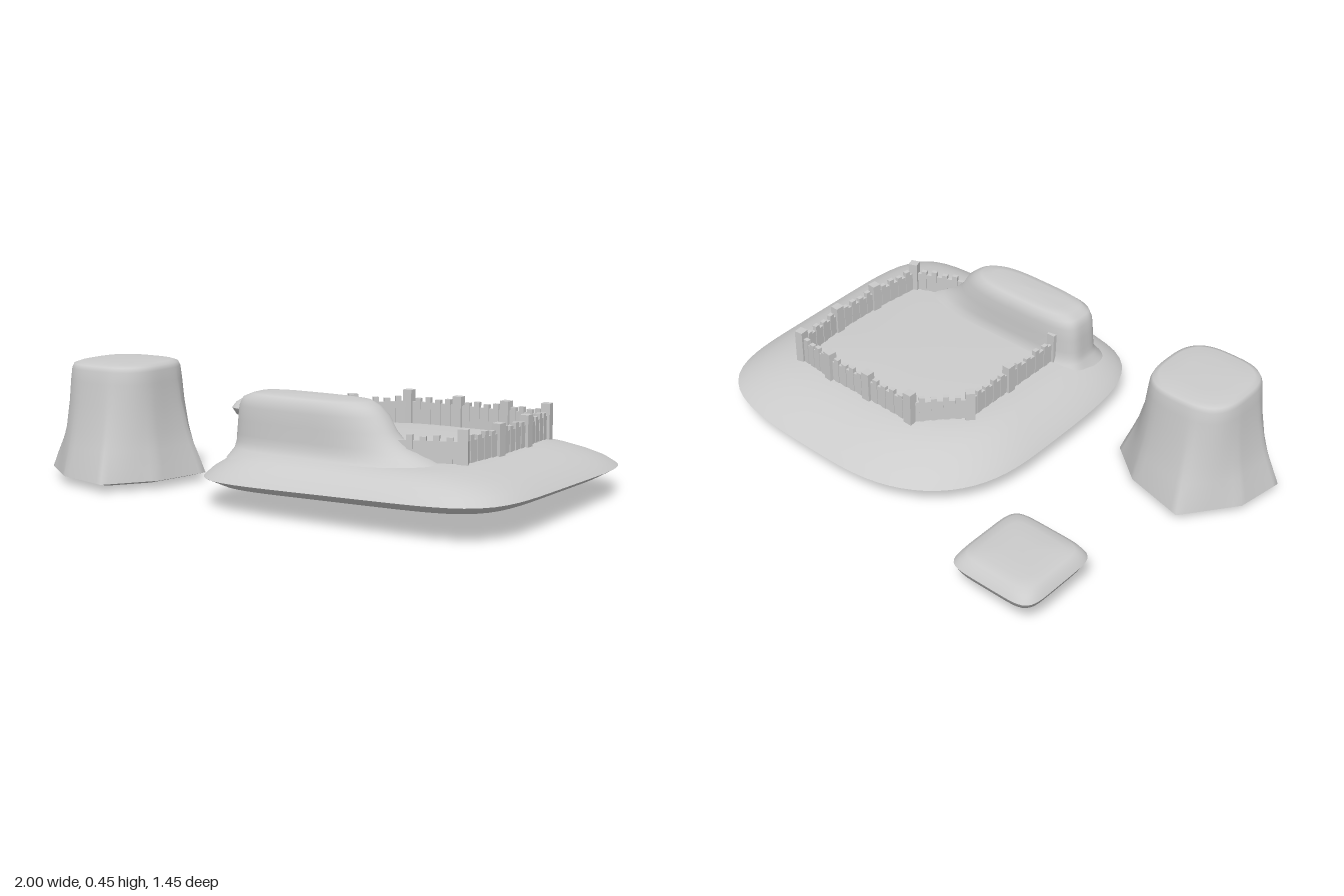
import * as THREE from 'three';

const grey = new THREE.MeshStandardMaterial({ color: 0xcccccc });

function named(name, geometry) {
  const mesh = new THREE.Mesh(geometry, grey);
  mesh.name = name;
  return mesh;
}

// Smooth skin over closed rings of [x, y, z] points, listed from bottom to top
function loft(rings) {
  const n = rings[0].length, index = [];
  for (let i = 0; i < rings.length - 1; i++) {
    for (let j = 0; j < n; j++) {
      const a = i * n + j, b = i * n + (j + 1) % n;
      index.push(a, a + n, b, b, a + n, b + n);
    }
  }
  const g = new THREE.BufferGeometry();
  g.setAttribute('position', new THREE.Float32BufferAttribute(rings.flat(2), 3));
  g.setIndex(index);
  g.computeVertexNormals();
  return g;
}

// Rounded-square radius in direction (c, s); larger n means squarer corners
const squircle = (c, s, n) => Math.pow(Math.abs(c) ** n + Math.abs(s) ** n, -1 / n);

// Rounded-square ring; power(c, s) varies the corners, tilt slopes it along x and z
function ring(cx, cz, hx, hz, y, power, tilt = 0, count = 96) {
  return Array.from({ length: count }, (_, i) => {
    const a = (i / count) * Math.PI * 2, c = Math.cos(a), s = Math.sin(a);
    const r = squircle(c, s, power(c, s));
    return [cx + hx * r * c, y + tilt * r * (0.013 * c + 0.015 * s), cz + hz * r * s];
  });
}

// Floating ground: back left corner is rounder than the others
function island() {
  const group = new THREE.Group();
  group.name = 'island';
  const power = (c, s) => 4.3 + 0.9 * c + 1.2 * s;
  const build = rows => loft(rows.map(([cx, cz, h, y, t]) => ring(cx, cz, h, h, y, power, t)));
  group.add(named('islandUnderside', build([
    [0.43, 0.2, 0, 0.035, 0],
    [0.42, 0.17, 0.2, 0.043, 0.1],
    [0.39, 0.11, 0.45, 0.058, 0.5],
    [0.375, 0.095, 0.58, 0.075, 0.8],
    [0.37, 0.09, 0.63, 0.1, 1],
  ])));
  group.add(named('islandTop', build([
    [0.37, 0.09, 0.63, 0.1, 1],
    [0.367, 0.097, 0.6, 0.127, 0.9],
    [0.363, 0.11, 0.555, 0.153, 0.7],
    [0.357, 0.125, 0.51, 0.174, 0.4],
    [0.35, 0.14, 0.46, 0.19, 0.2],
    [0.35, 0.15, 0.4, 0.2, 0.1],
    [0.35, 0.15, 0.2, 0.207, 0],
    [0.35, 0.15, 0, 0.209, 0],
  ])));
  return group;
}

// Hill with a steep left end and a long slope to the right
function hill() {
  const rows = [ // y, left, right, back, front
    [0.165, -0.14, 0.76, 0.32, 0.62],
    [0.2, -0.118, 0.67, 0.345, 0.585],
    [0.225, -0.112, 0.61, 0.355, 0.575],
    [0.25, -0.11, 0.555, 0.358, 0.572],
    [0.3, -0.105, 0.505, 0.36, 0.57],
    [0.35, -0.1, 0.475, 0.362, 0.567],
    [0.38, -0.085, 0.44, 0.37, 0.56],
    [0.395, -0.05, 0.41, 0.385, 0.545],
    [0.4, 0, 0.36, 0.41, 0.52],
    [0.402, 0.18, 0.18, 0.465, 0.465],
  ];
  return named('hill', loft(rows.map(([y, l, r, b, f]) =>
    ring((l + r) / 2, (b + f) / 2, (r - l) / 2, (f - b) / 2, y, c => 3.2 - 0.8 * c))));
}

// Tall rock: an uneven polygon at the foot that rounds off towards the top
function tallRock() {
  const group = new THREE.Group();
  group.name = 'tallRock';
  const cx = -0.715, cz = 0.385;
  const corners = [[-0.43, 0.28], [-0.48, 0.5], [-0.61, 0.67], [-0.83, 0.62],
    [-1, 0.49], [-0.97, 0.3], [-0.82, 0.1], [-0.58, 0.16]];
  const foot = corners.flatMap(([x, z], i) => {
    const [x2, z2] = corners[(i + 1) % corners.length];
    return Array.from({ length: 8 }, (_, k) => [x + (x2 - x) * k / 8 - cx, z + (z2 - z) * k / 8 - cz]);
  });
  // y, share of the foot outline, scale
  const build = rows => loft(rows.map(([y, share, scale]) => foot.map(([x, z]) => {
    const d = Math.hypot(x, z), c = x / d, s = z / d;
    const r = scale * THREE.MathUtils.lerp(0.182 * squircle(c, s, 3), d, share);
    return [cx + r * c, y, cz + r * s];
  })));
  group.add(named('tallRockUnderside', build([
    [0, 1, 0], [0.003, 1, 0.4], [0.012, 1, 0.75], [0.03, 1, 1],
  ])));
  group.add(named('tallRockBody', build([
    [0.03, 1, 1], [0.08, 0.83, 1], [0.14, 0.61, 1], [0.2, 0.41, 1], [0.3, 0.18, 1],
    [0.38, 0.06, 1], [0.425, 0, 0.99], [0.442, 0, 0.95], [0.449, 0, 0.85], [0.452, 0, 0.5], [0.453, 0, 0],
  ])));
  return group;
}

// Low square rock with a sharp rim
function flatRock() {
  const group = new THREE.Group();
  group.name = 'flatRock';
  const build = rows => loft(rows.map(([y, h]) => ring(-0.635, -0.55, h, h, y, () => 6)));
  group.add(named('flatRockUnderside', build([[0.119, 0], [0.121, 0.1], [0.126, 0.165], [0.155, 0.18]])));
  group.add(named('flatRockTop', build([
    [0.155, 0.18], [0.178, 0.165], [0.192, 0.145], [0.198, 0.11], [0.2, 0.05], [0.2, 0],
  ])));
  return group;
}

// Battlemented wall with square towers around the plateau
function wall() {
  const group = new THREE.Group();
  group.name = 'wall';
  const base = 0.17;
  const block = (name, x, z, w, d, top, turn) => {
    const mesh = named(name, new THREE.BoxGeometry(w, top - base, d));
    mesh.position.set(x, (top + base) / 2, z);
    mesh.rotation.y = turn;
    group.add(mesh);
  };
  const path = [[-0.02, 0.375], [-0.02, 0.11], [-0.02, -0.11], [0.135, -0.27], [0.35, -0.27],
    [0.55, -0.27], [0.725, -0.25], [0.75, -0.03], [0.75, 0.18], [0.73, 0.395], [0.52, 0.475]];
  path.forEach(([x, z], i) => {
    const next = path[i + 1];
    if (!next) return;
    const dx = next[0] - x, dz = next[1] - z, length = Math.hypot(dx, dz), turn = -Math.atan2(dz, dx);
    block('tower', x, z, 0.036, 0.034, i % 3 ? 0.313 : 0.322, turn);
    block('wallSection', x + dx / 2, z + dz / 2, length, 0.012, 0.278, turn);
    for (let k = 1; k <= 4; k++) {
      const t = k / 5;
      block('merlon', x + dx * t, z + dz * t, 0.022, 0.017, k % 2 ? 0.292 : 0.298, turn);
    }
  });
  return group;
}

export function createModel() {
  const model = new THREE.Group();
  model.name = 'islandFort';
  model.add(island(), hill(), wall(), tallRock(), flatRock());
  return model;
}
